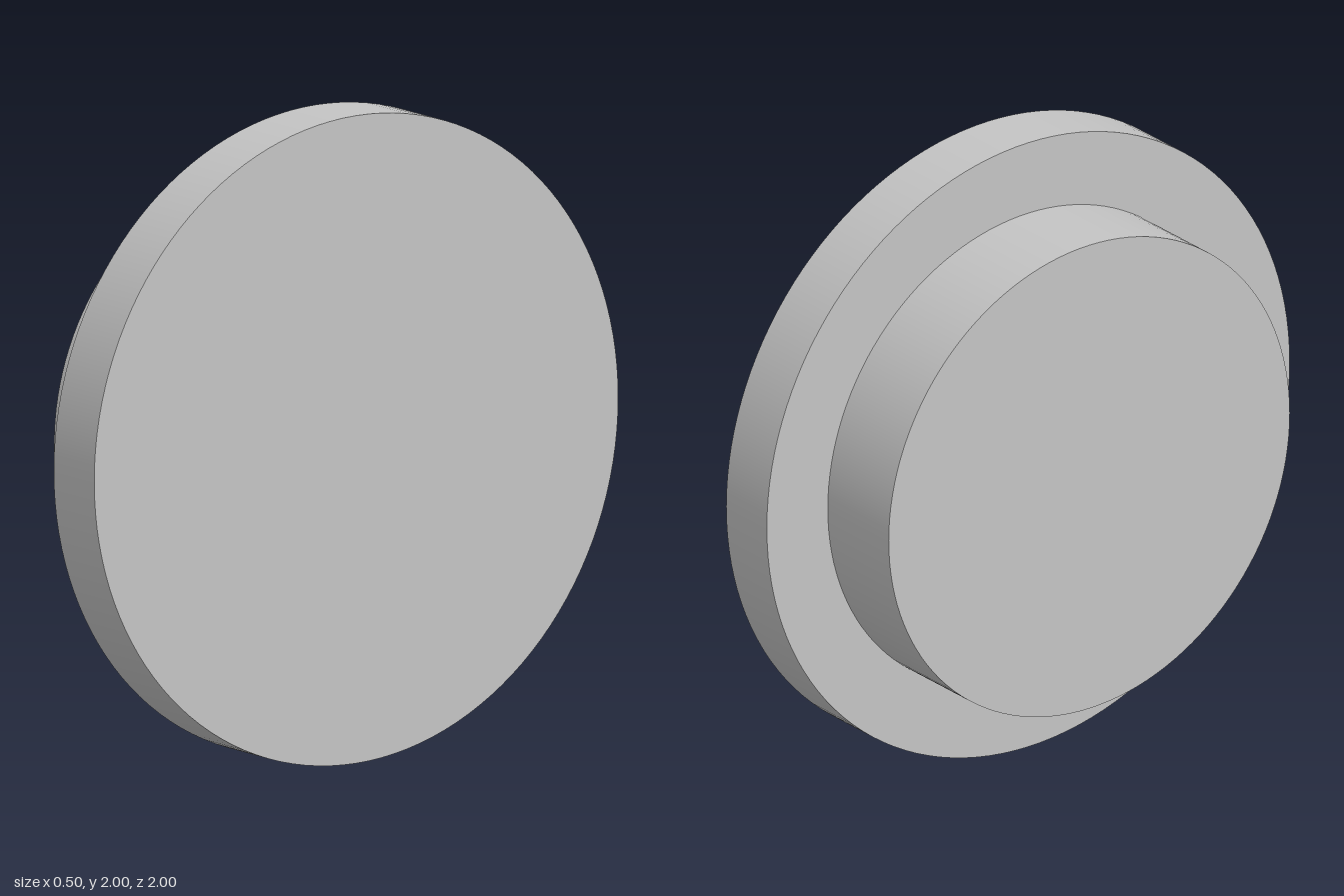
import * as THREE from 'three';

export function createModel() {
  const group = new THREE.Group();
  const grey = new THREE.MeshStandardMaterial({ color: 0xc4c4c4 });
  grey.name = 'light grey';

  // Round disc lying along the x axis, from x0 to x1
  function disc(name, radius, x0, x1) {
    const geometry = new THREE.CylinderGeometry(radius, radius, x1 - x0, 128);
    geometry.rotateZ(-Math.PI / 2);
    const mesh = new THREE.Mesh(geometry, grey);
    mesh.name = name;
    mesh.position.set((x0 + x1) / 2, 1, 0);
    group.add(mesh);
  }

  disc('flange', 1, 0.05, 0.25); // wide head
  disc('plug', 0.767, -0.25, 0.05); // narrower body behind it

  return group;
}
